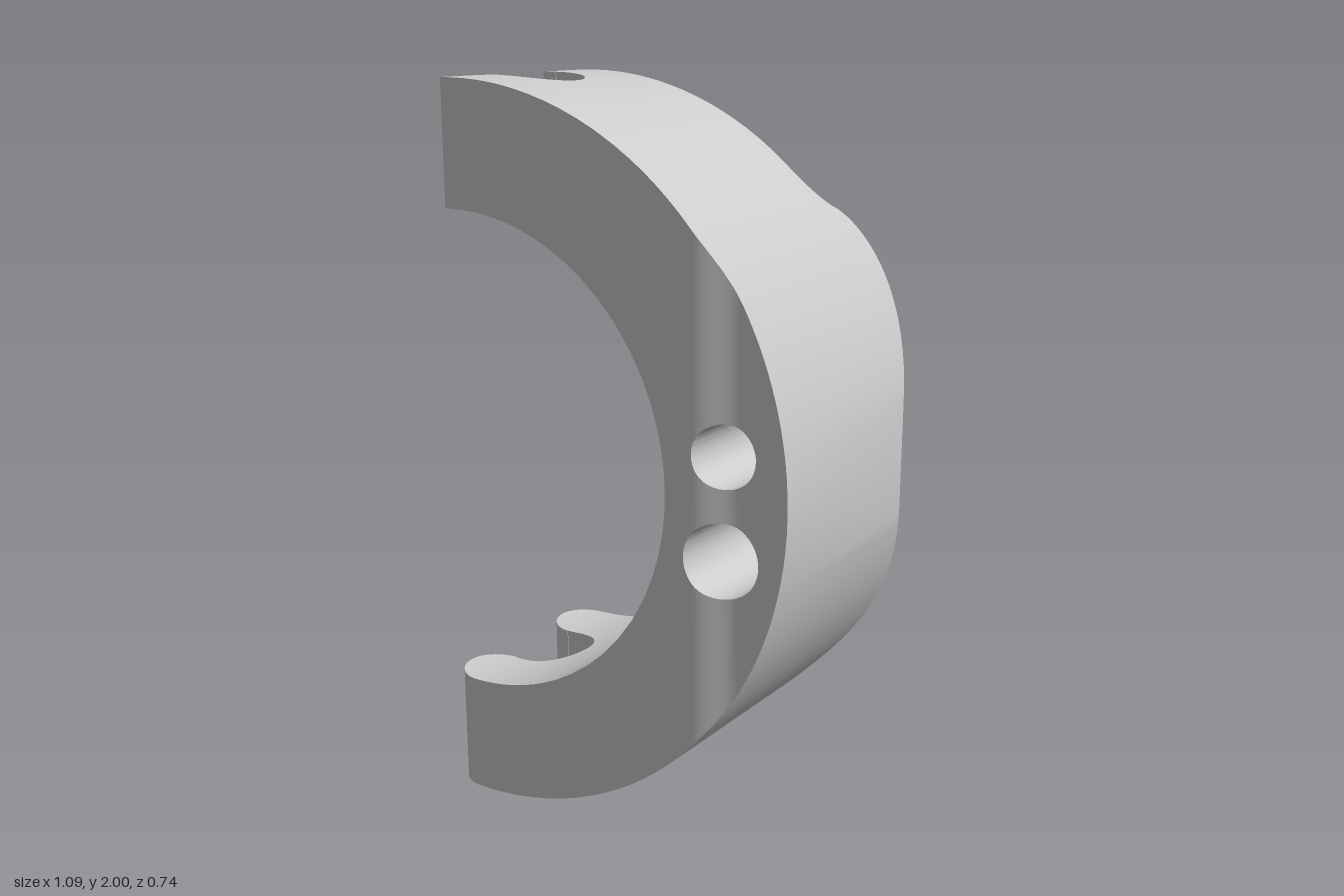
import * as THREE from 'three';
import { toCreasedNormals } from 'three/addons/utils/BufferGeometryUtils.js';

const root = (r, d) => Math.sqrt(Math.max(0, r * r - d * d));

// Circles in the front plane: the outer rim, and the bore and holes cut from it
const RIM = { x: -0.46, y: 1, r: 1 };
const CUTS = [
  { x: 0.36, y: 0.85, r: 0.1 },     // lower hole
  { x: -0.46, y: 1, r: 0.665 },     // bore
  { x: 0.366, y: 1.12, r: 0.083 },  // upper hole
];

// Plan outline: rounded fork tips, a notch, a rear bulge and a stepped front
const LEFT = -0.545, TIP = { x: -0.453, r: 0.092, back: -0.147, front: 0.277 };
const NOTCH = { x: -0.412, z: 0.066, r: 0.122 };
const FILLET = { x: 0.19, z: -0.361, r: 0.121 };
const BULGE = { x: 0.41, z: -0.242, r: 0.13 };
const JOIN = 0.296;

function backZ(x) {
  if (x < TIP.x) return TIP.back - root(TIP.r, x - TIP.x);
  if (x < FILLET.x) return -0.24;
  if (x < JOIN) return FILLET.z + root(FILLET.r, x - FILLET.x);
  return BULGE.z - root(BULGE.r, x - BULGE.x);
}

function frontZ(x) {
  if (x < TIP.x) return TIP.front + root(TIP.r, x - TIP.x);
  return 0.369 - 0.034 * THREE.MathUtils.smoothstep(x, 0.28, 0.41);
}

const pairs = (a) => a.flatMap((v, i) => (i % 2 ? [] : [[v, a[i + 1]]]));

// Solid height ranges at x; mid decides which cuts are open in this stretch
function heights(x, mid) {
  const h = root(RIM.r, x - RIM.x), list = [RIM.y - h];
  for (const c of CUTS) {
    if (Math.abs(mid - c.x) >= c.r) continue;
    const d = root(c.r, x - c.x);
    list.push(c.y - d, c.y + d);
  }
  return pairs([...list, RIM.y + h]);
}

// Solid depth ranges at x: two fork prongs, then one body
function depths(x, mid) {
  const list = [backZ(x), frontZ(x)];
  if (mid < NOTCH.x + NOTCH.r) {
    let lo = NOTCH.z - NOTCH.r, hi = NOTCH.z + NOTCH.r;
    if (x < TIP.x) {
      lo = TIP.back + root(TIP.r, x - TIP.x);
      hi = TIP.front - root(TIP.r, x - TIP.x);
    } else if (x > NOTCH.x) {
      const d = root(NOTCH.r, x - NOTCH.x);
      lo = NOTCH.z - d;
      hi = NOTCH.z + d;
    }
    list.splice(1, 0, lo, hi);
  }
  return pairs(list);
}

// Rectangular cross-sections at one x
function sections(x, mid) {
  return heights(x, mid).flatMap(([y0, y1]) => depths(x, mid).map(([z0, z1]) => [
    [x, y1, z0], [x, y1, z1], [x, y0, z1], [x, y0, z0],
  ]));
}

function bracketGeometry() {
  const stops = [LEFT, TIP.x, NOTCH.x, NOTCH.x + NOTCH.r, FILLET.x, JOIN, BULGE.x, RIM.x + RIM.r];
  for (const c of CUTS) stops.push(c.x - c.r, c.x + c.r);
  const xs = stops.filter((x) => x >= LEFT).sort((a, b) => a - b);
  const pos = [];
  const A = new THREE.Vector3(), B = new THREE.Vector3(), C = new THREE.Vector3();
  const tri = (a, b, c) => {
    A.fromArray(a); B.fromArray(b).sub(A); C.fromArray(c).sub(A);
    if (B.cross(C).length() > 1e-10) pos.push(...a, ...b, ...c);
  };
  // Loft between stops, with samples bunched where the arcs turn steeply
  for (let s = 0; s + 1 < xs.length; s++) {
    const a = xs[s], b = xs[s + 1], mid = (a + b) / 2;
    if (b - a < 1e-6) continue;
    const n = 14;
    const at = (i) => (i === 0 ? a : i === n ? b : mid - (b - a) / 2 * Math.cos(Math.PI * i / n));
    for (let i = 0; i < n; i++) {
      const from = sections(at(i), mid), to = sections(at(i + 1), mid);
      from.forEach((p, k) => {
        const q = to[k];
        for (let e = 0; e < 4; e++) {
          const f = (e + 1) % 4;
          tri(p[e], p[f], q[f]);
          tri(p[e], q[f], q[e]);
        }
      });
    }
  }
  const geo = new THREE.BufferGeometry();
  geo.setAttribute('position', new THREE.Float32BufferAttribute(pos, 3));
  return toCreasedNormals(geo, 0.5);
}

export function createModel() {
  const group = new THREE.Group();
  group.name = 'halfRingBracket';
  const material = new THREE.MeshStandardMaterial({ color: 0xcccccc });
  const body = new THREE.Mesh(bracketGeometry(), material);
  body.name = 'forkedHalfRing';
  group.add(body);
  return group;
}
